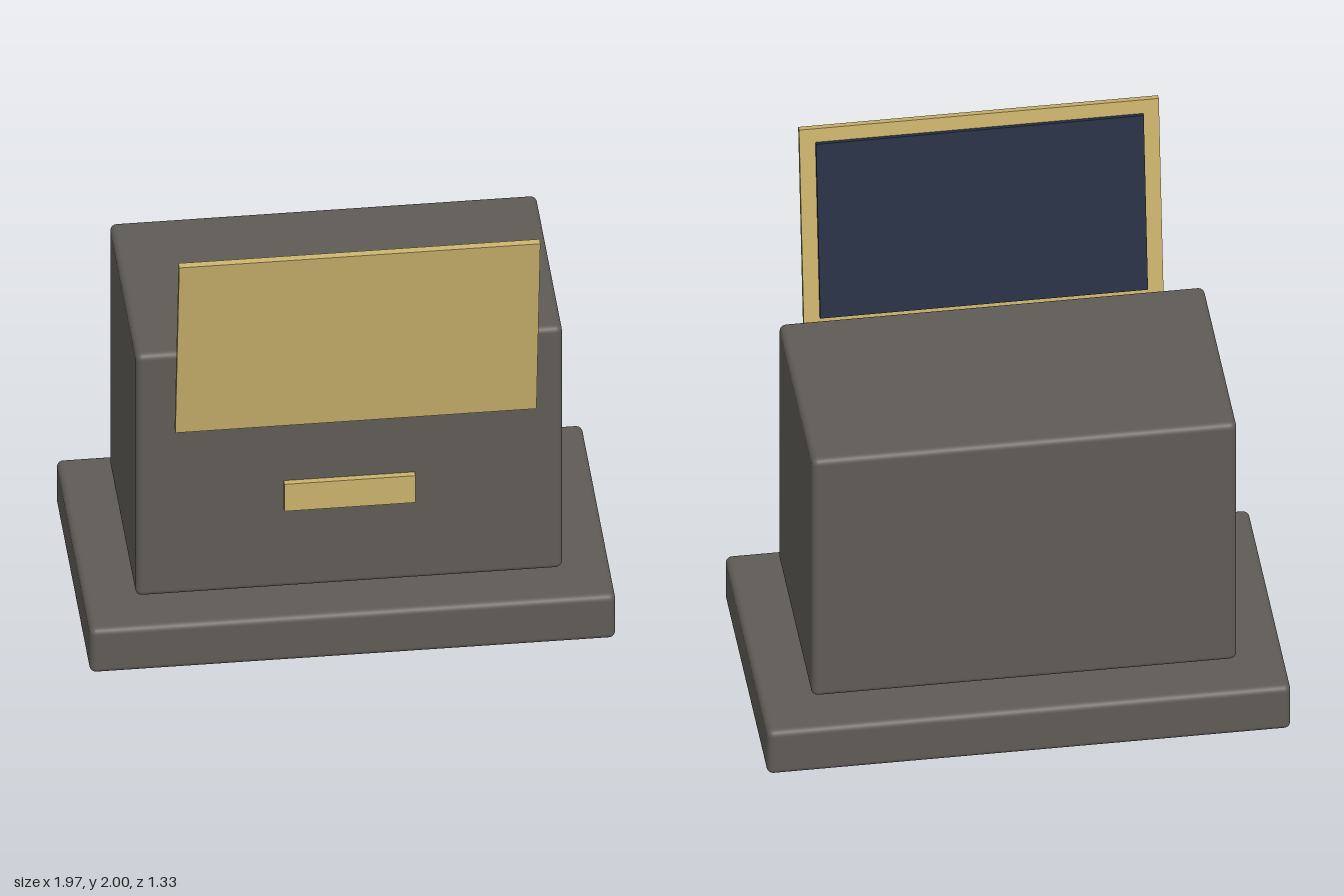
import * as THREE from 'three';
import { RoundedBoxGeometry } from 'three/addons/geometries/RoundedBoxGeometry.js';

const stone = new THREE.MeshStandardMaterial({ color: 0x5f5b56 });
const brass = new THREE.MeshStandardMaterial({ color: 0xc9b26c });
const navy = new THREE.MeshStandardMaterial({ color: 0x273044 });

function part(name, geometry, material, x, y, z) {
  const mesh = new THREE.Mesh(geometry, material);
  mesh.name = name;
  mesh.position.set(x, y, z);
  return mesh;
}

export function createModel() {
  const model = new THREE.Group();
  model.name = 'pedestalWithDisplay';

  // Plinth and the main block hovering just above it
  model.add(part('base', new RoundedBoxGeometry(1.965, 0.2, 1.105, 4, 0.025), stone, 0, 0.1, -0.112));
  model.add(part('body', new RoundedBoxGeometry(1.595, 1.105, 0.86, 4, 0.025), stone, 0, 0.803, -0.11));

  // Small plate on the front of the block
  model.add(part('namePlate', new THREE.BoxGeometry(0.49, 0.123, 0.025), brass, 0, 0.68, 0.332));

  // Tilted panel: brass frame with a dark screen on its rear face
  const panel = new THREE.Group();
  panel.name = 'tiltedPanel';
  panel.add(part('panelFrame', new THREE.BoxGeometry(1.35, 0.855, 0.025), brass, 0, 0, 0));
  panel.add(part('panelScreen', new THREE.BoxGeometry(1.23, 0.74, 0.02), navy, 0, 0, -0.019));
  panel.position.set(0, 1.575, 0.588);
  panel.rotation.x = 0.149;
  model.add(panel);

  return model;
}
